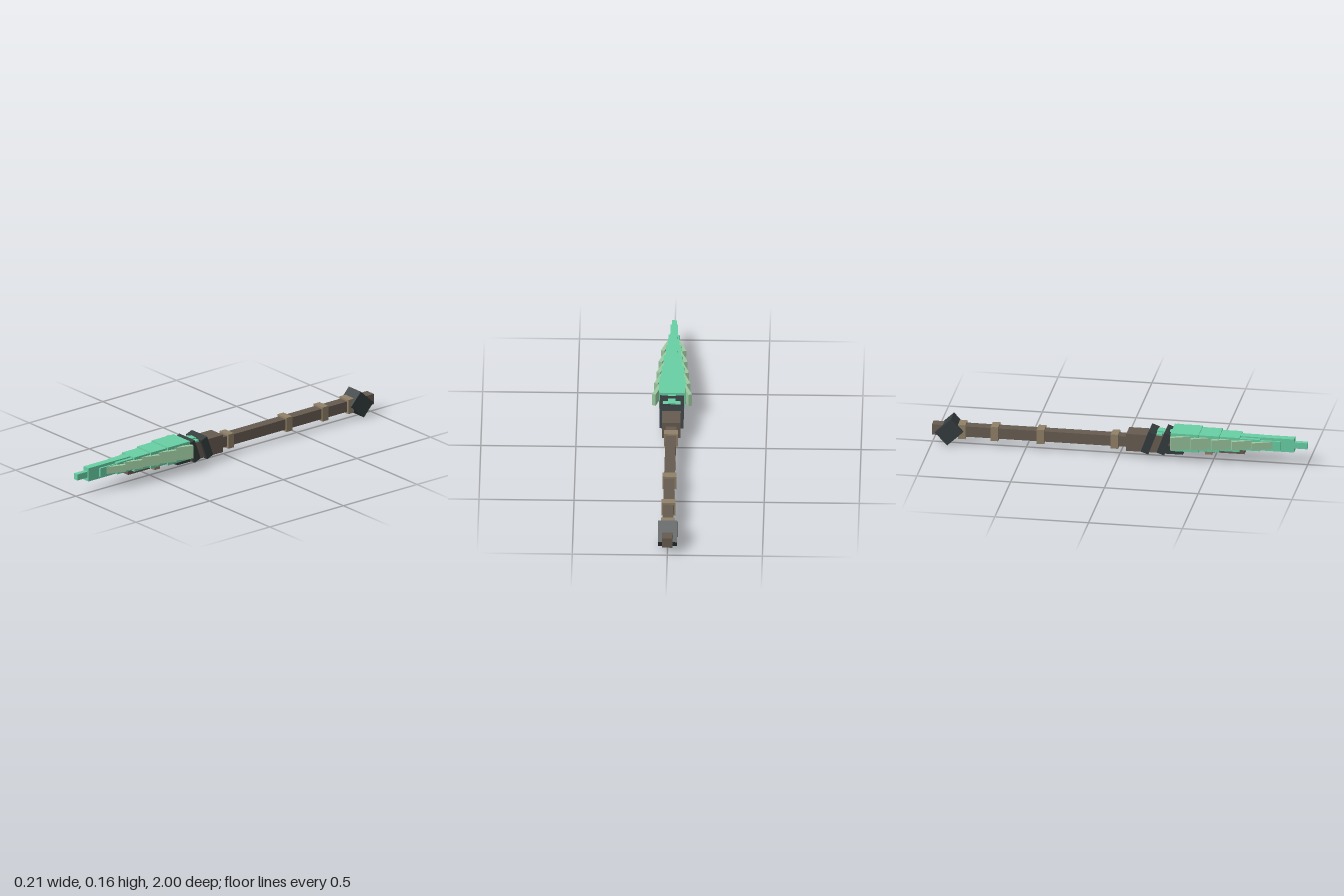
import * as THREE from 'three';

function material(name, color) {
  const m = new THREE.MeshStandardMaterial({ color });
  m.name = name;
  return m;
}

export function createModel() {
  const model = new THREE.Group();
  model.name = 'spear';
  const wood = material('brown wood', 0x675b50);
  const binding = material('tan binding', 0x8f8068);
  const iron = material('dark iron', 0x343c3d);
  const crystal = material('green blade', 0x68cfa4);
  const pale = material('pale green barb', 0x9cc9a0);

  // Box given by half width, vertical range and length range
  function span(name, mat, halfW, y0, y1, z0, z1) {
    return block(name, mat, [2 * halfW, y1 - y0, z1 - z0], [0, (y0 + y1) / 2, (z0 + z1) / 2]);
  }
  // Box given by size, centre and rotation in degrees
  function block(name, mat, size, centre, rx = 0, ry = 0) {
    const mesh = new THREE.Mesh(new THREE.BoxGeometry(...size), mat);
    mesh.name = name;
    mesh.position.set(...centre);
    mesh.rotation.set(THREE.MathUtils.degToRad(rx), THREE.MathUtils.degToRad(ry), 0);
    model.add(mesh);
    return mesh;
  }

  // Shaft with its bindings
  span('shaft', wood, 0.028, 0.049, 0.107, -1, 0.667);
  for (const z of [-0.84, -0.665, -0.42, -0.025, 0.477]) {
    span('shaftBinding', binding, 0.037, 0.038, 0.117, z - 0.02, z + 0.02);
  }

  // Tilted counterweight at the butt
  block('counterweight', iron, [0.1, 0.095, 0.117], [0, 0.076, -0.905], -43);

  // Socket with slanted bands and an under brace
  span('socket', wood, 0.049, 0.035, 0.131, 0.04, 0.25);
  for (const z of [0.16, 0.245]) {
    block('socketBand', iron, [0.127, 0.12, 0.043], [0, 0.091, z], 20);
  }
  span('underBrace', iron, 0.035, 0.027, 0.07, 0.21, 0.34);

  // Blade spine, tang and tip
  span('bladeSpine', crystal, 0.02, 0.073, 0.147, 0.2, 0.93);
  span('bladeTang', crystal, 0.046, 0.075, 0.14, 0.2, 0.23);
  span('bladeTip', crystal, 0.013, 0.093, 0.127, 0.93, 1);

  // Stepped blade: each section is narrower and lower than the one behind
  const halfWidths = [0.069, 0.06, 0.05, 0.04, 0.03];
  const halfHeights = [0.05, 0.045, 0.04, 0.032, 0.024];
  let start = 0.28;
  halfWidths.forEach((w, i) => {
    const end = 0.43 + 0.107 * i;
    const h = halfHeights[i];
    span('bladeSection', crystal, w, 0.108 - h, 0.108 + h, start, end);
    start = end;

    // Swept-back barbs on both sides
    for (const side of [1, -1]) {
      const height = 0.072 - 0.0085 * i;
      block('barb', pale, [0.02, height, 0.15],
        [side * (0.07 - 0.0095 * i), 0.11, 0.354 + 0.107 * i], 0, -20 * side);
    }
  });
  return model;
}
